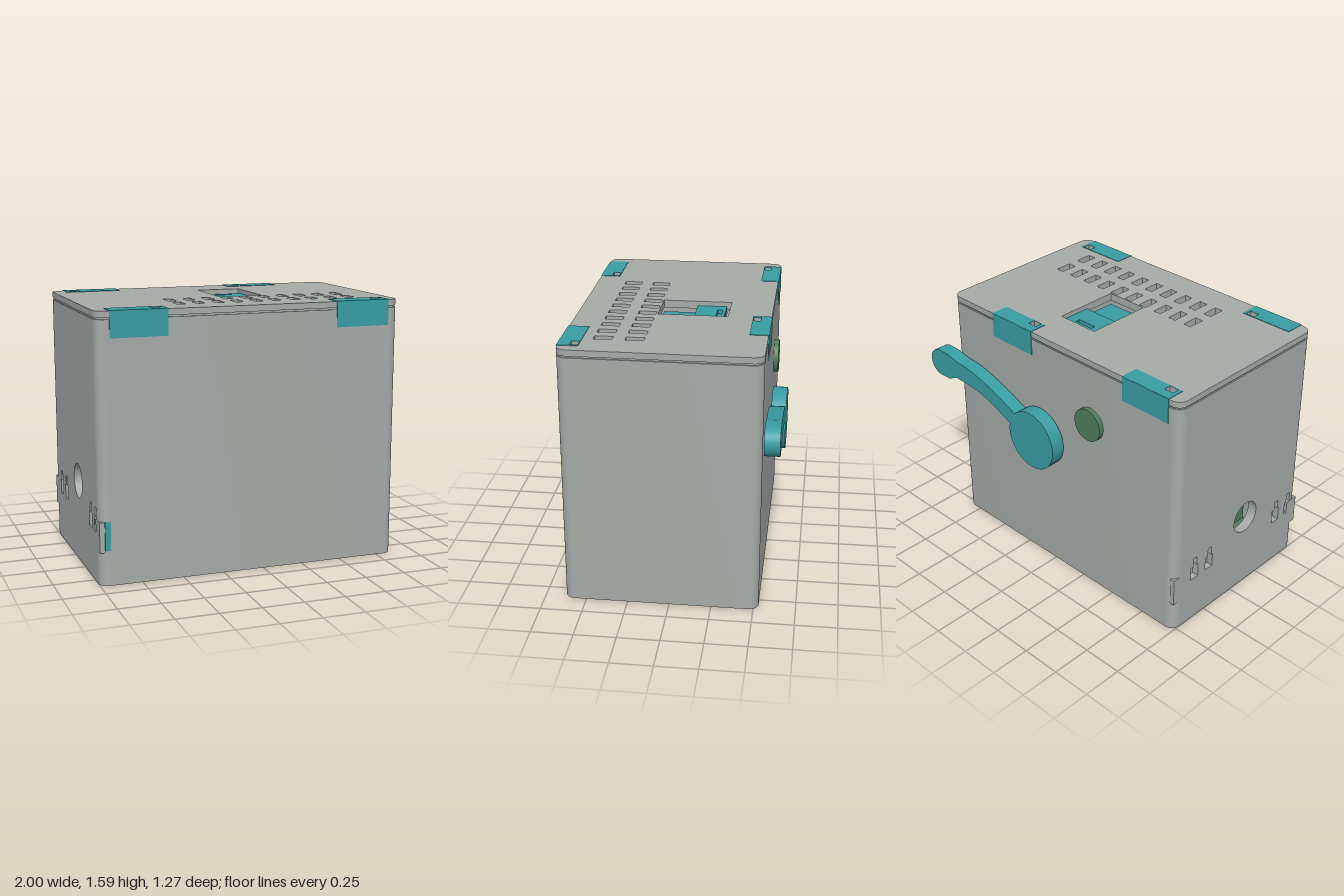
import * as THREE from 'three';
import { toCreasedNormals } from 'three/addons/utils/BufferGeometryUtils.js';

const mat = (name, color) => {
  const m = new THREE.MeshStandardMaterial({ color });
  m.name = name;
  return m;
};

export function createModel() {
  const grey = mat('casing grey', 0xa6aba8);
  const teal = mat('fitting teal', 0x389da3);
  const green = mat('inner green', 0x4f7d5a);
  const root = new THREE.Group();
  root.name = 'crankBox';

  const add = (name, geo, material, x = 0, y = 0, z = 0) => {
    const m = new THREE.Mesh(geo, material);
    m.name = name;
    m.position.set(x, y, z);
    root.add(m);
    return m;
  };
  // Box given by its limits
  const block = (name, material, x0, x1, y0, y1, z0, z1) =>
    add(name, new THREE.BoxGeometry(x1 - x0, y1 - y0, z1 - z0), material,
      (x0 + x1) / 2, (y0 + y1) / 2, (z0 + z1) / 2);
  const extrude = (shape, depth) => toCreasedNormals(
    new THREE.ExtrudeGeometry(shape, { depth, bevelEnabled: false, curveSegments: 12 }), 0.6);
  // Plan shapes use (x, -z) and are extruded upwards
  const slab = (shape, depth) => extrude(shape, depth).rotateX(-Math.PI / 2);
  const trace = (path, pts) => {
    pts.forEach(([x, y], i) => (i ? path.lineTo(x, y) : path.moveTo(x, y)));
    path.closePath();
    return path;
  };
  const planHole = (x0, x1, z0, z1) =>
    trace(new THREE.Path(), [[x0, -z0], [x1, -z0], [x1, -z1], [x0, -z1]]);

  // Casing limits
  const L = -1, R = 0.86, B = -0.53, F = 0.63, r = 0.06, t = 0.06;
  const roundedPlan = (d = 0) => {
    const s = new THREE.Shape(), q = r - d;
    const x0 = L + d, x1 = R - d, y0 = -F + d, y1 = -B - d;
    s.moveTo(x0 + q, y0);
    s.lineTo(x1 - q, y0);
    s.absarc(x1 - q, y0 + q, q, -Math.PI / 2, 0);
    s.lineTo(x1, y1 - q);
    s.absarc(x1 - q, y1 - q, q, 0, Math.PI / 2);
    s.lineTo(x0 + q, y1);
    s.absarc(x0 + q, y1 - q, q, Math.PI / 2, Math.PI);
    s.lineTo(x0, y0 + q);
    s.absarc(x0 + q, y0 + q, q, Math.PI, Math.PI * 1.5);
    return s;
  };

  // Three walls of the casing with rounded corners
  const walls = new THREE.Shape();
  walls.moveTo(L + r, -F);
  walls.lineTo(R - r, -F);
  walls.absarc(R - r, -F + r, r, -Math.PI / 2, 0);
  walls.lineTo(R, -B - r);
  walls.absarc(R - r, -B - r, r, 0, Math.PI / 2);
  walls.lineTo(L + r, -B);
  walls.absarc(L + r, -B - r, r, Math.PI / 2, Math.PI);
  [[L + t, -B - t], [R - t, -B - t], [R - t, -F + t], [L + t, -F + t], [L, -F + t]]
    .forEach(([x, y]) => walls.lineTo(x, y));
  walls.absarc(L + r, -F + r, r, Math.PI, Math.PI * 1.5);
  add('casingWalls', slab(walls, 1.535), grey);

  // Fourth wall with a round port and stepped slots
  const side = trace(new THREE.Shape(), [[B + r, 0], [F - r, 0], [F - r, 1.535], [B + r, 1.535]]);
  const port = new THREE.Path();
  port.absarc(0.11, 0.5, 0.105, 0, Math.PI * 2, true);
  side.holes.push(port);
  for (const z of [-0.35, -0.22, 0.42, 0.54]) {
    const w = z > 0.5 ? 0.025 : 0.032;
    side.holes.push(trace(new THREE.Path(), [[z - w, 0.3], [z - w, 0.39], [z - 0.01, 0.39],
      [z - 0.01, 0.45], [z + 0.02, 0.45], [z + 0.02, 0.39], [z + w, 0.39], [z + w, 0.3]]));
    block('slotBacking', grey, -0.96, -0.945, 0.29, 0.46, z - 0.04, z + 0.04);
  }
  add('portWall', extrude(side, t).rotateY(-Math.PI / 2), grey, L + t);
  block('portCore', green, -0.9, -0.86, 0.38, 0.62, 0.0, 0.22);

  // Square tabs on the two corners beside the slots
  block('frontCornerTab', grey, L, -0.97, 0.2, 0.38, 0.54, F);
  block('backCornerTab', grey, L, -0.97, 0.2, 0.38, B, -0.44);
  block('cornerCatch', teal, -0.968, -0.935, 0.21, 0.38, 0.6, F + 0.002);

  // Recessed base
  block('base', green, L + t, R - t, 0.035, 0.06, B + t, F - t);

  // Lid with vents, sliding hatch opening and catch holes
  const clips = [[-0.92, -0.58, 1, -0.63], [0.455, 0.79, 1, 0.745],
    [-0.92, -0.58, -1, -0.865], [0.155, 0.49, -1, 0.21]];
  const catchHole = ([, , s, x]) => s > 0
    ? planHole(x - 0.03, x + 0.03, 0.51 + 0.005, 0.56)
    : planHole(x - 0.03, x + 0.03, -0.47, -0.425);
  const lid = roundedPlan(), seam = roundedPlan(0.008);
  const vents = [];
  for (let i = 0; i < 10; i++) {
    const x = -0.443 + 0.1195 * i;
    for (const z of [0.215, 0.395]) vents.push([x - 0.026, x + 0.026, z - 0.054, z + 0.054]);
  }
  for (const s of [lid, seam]) {
    vents.forEach(v => s.holes.push(planHole(...v)));
    s.holes.push(planHole(-0.103, 0.17, -0.27, 0.15));
    clips.forEach(c => s.holes.push(catchHole(c)));
  }
  add('lidSeam', slab(seam, 0.01), grey, 0, 1.535);
  add('lid', slab(lid, 0.037), grey, 0, 1.545);

  // Sliding hatch: raised grip with a finger slot and a lower step
  const grip = trace(new THREE.Shape(), [[-0.1, 0.06], [0.168, 0.06], [0.168, 0.24], [-0.1, 0.24]]);
  grip.holes.push(planHole(-0.03, 0.1, -0.22, -0.19));
  add('hatchGrip', slab(grip, 0.025), teal, 0, 1.53);
  block('hatchStep', teal, -0.103, 0.17, 1.49, 1.51, -0.25, 0.15);
  block('hatchRail', grey, -0.103, 0.17, 1.51, 1.53, -0.28, -0.245);

  // Clips wrapping the lid edge
  for (const c of clips) {
    const [x0, x1, s] = c;
    const z0 = s > 0 ? 0.51 : B - 0.003, z1 = s > 0 ? F + 0.003 : -0.42;
    const top = trace(new THREE.Shape(), [[x0, -z1], [x1, -z1], [x1, -z0], [x0, -z0]]);
    top.holes.push(catchHole(c));
    add('clipTop', slab(top, 0.005), teal, 0, 1.58);
    const face = s > 0 ? F : B;
    block('clipFace', teal, x0, x1, 1.43, 1.584, face - 0.004, face + 0.004);
  }

  // Crank: hub disc, curved arm and rounded handle
  const zc = -0.635, depth = 0.09;
  const disc = (name, material, x, y, z0, z1, rad) =>
    add(name, new THREE.CylinderGeometry(rad, rad, z1 - z0, 48).rotateX(Math.PI / 2),
      material, x, y, (z0 + z1) / 2);
  disc('crankHub', teal, 0.08, 0.91, zc, zc + depth, 0.19);
  disc('crankShaft', teal, 0.115, 0.93, -0.56, -0.52, 0.065);
  const arm = new THREE.Shape();
  arm.moveTo(0.26, 0.95);
  arm.splineThru([[0.43, 1.02], [0.58, 1.06], [0.76, 1.07]].map(p => new THREE.Vector2(...p)));
  arm.lineTo(0.83, 1.035);
  arm.lineTo(0.91, 1.034);
  arm.absarc(0.91, 1.122, 0.088, -Math.PI / 2, Math.PI / 2);
  arm.lineTo(0.83, 1.21);
  arm.splineThru([[0.74, 1.19], [0.6, 1.175], [0.41, 1.12], [0.19, 1.03]]
    .map(p => new THREE.Vector2(...p)));
  arm.lineTo(0.15, 0.95);
  add('crankArm', extrude(arm, depth), teal, 0, 0, zc);

  // Round button on the back
  disc('backButton', green, -0.328, 1.167, -0.56, -0.52, 0.103);

  return root;
}
